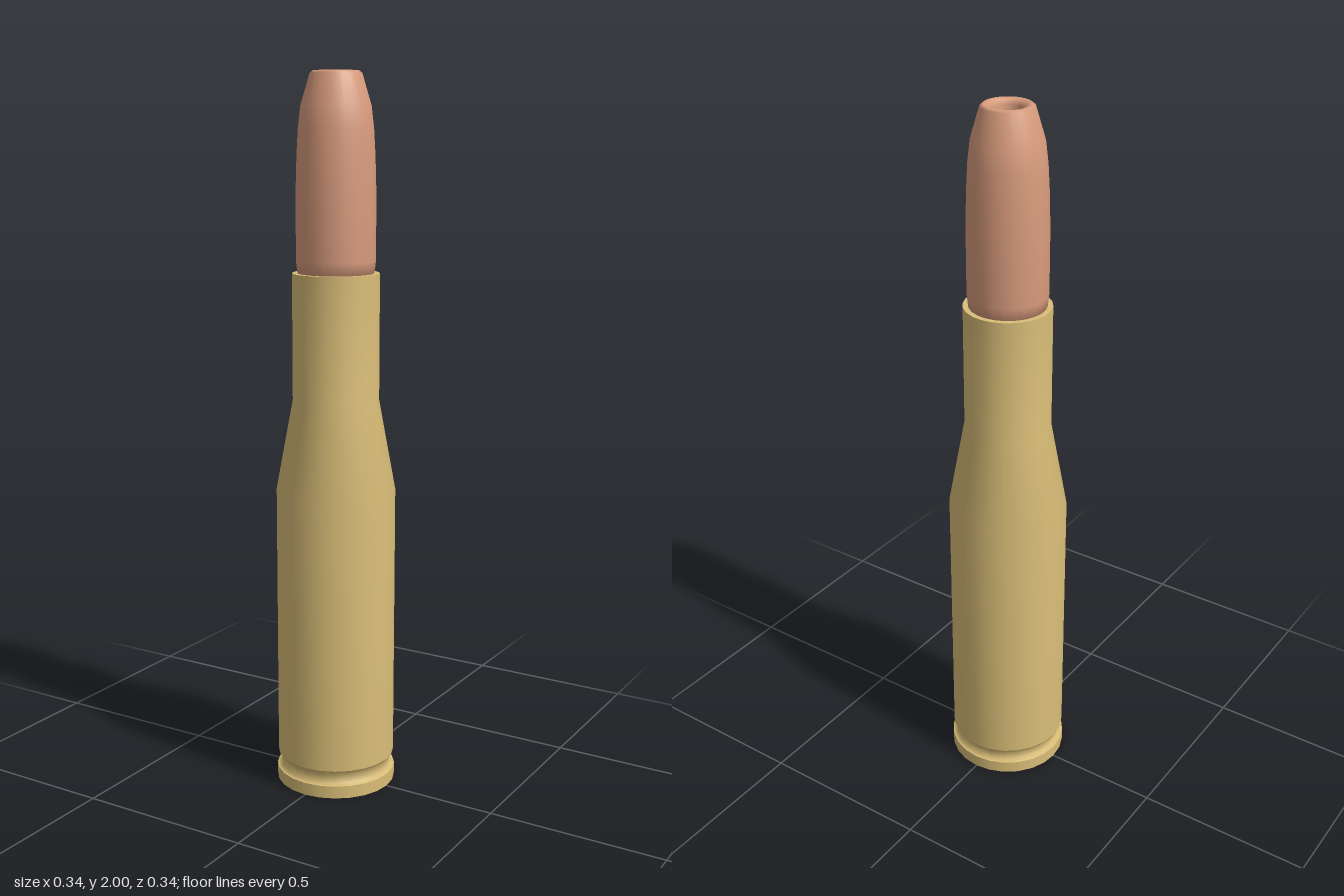
import * as THREE from 'three';

const SIDES = 24;

// Each run is a smooth profile of [radius, height]; edges between runs stay sharp.
function turnedPart(name, material, runs) {
  const part = new THREE.Group();
  part.name = name;
  for (const [label, points] of Object.entries(runs)) {
    const profile = points.map(([r, y]) => new THREE.Vector2(r, y));
    const mesh = new THREE.Mesh(new THREE.LatheGeometry(profile, SIDES), material);
    mesh.name = label;
    part.add(mesh);
  }
  return part;
}

export function createModel() {
  const brass = new THREE.MeshStandardMaterial({ name: 'brass', color: 0xdabe78 });
  const copper = new THREE.MeshStandardMaterial({ name: 'copper', color: 0xd99c7d });

  const model = new THREE.Group();
  model.name = 'cartridge';

  // Case: base, rim, extractor groove, tapered shoulder and neck
  model.add(turnedPart('case', brass, {
    base: [[0, 0], [0.17, 0]],
    rim: [[0.17, 0], [0.17, 0.036]],
    extractorGroove: [[0.17, 0.036], [0.156, 0.04], [0.156, 0.064], [0.167, 0.08]],
    body: [[0.167, 0.08], [0.167, 0.86], [0.12, 1.115], [0.12, 1.466]],
    mouth: [[0.12, 1.466], [0.105, 1.466]],
  }));

  // Bullet: seated in the mouth, with a rounded nose and a hollow point
  model.add(turnedPart('bullet', copper, {
    jacket: [
      [0, 1.44], [0.103, 1.445], [0.109, 1.5], [0.109, 1.68], [0.106, 1.78],
      [0.102, 1.85], [0.095, 1.91], [0.07, 1.994], [0.062, 2],
      [0.05, 1.997], [0.04, 1.985], [0.038, 1.92],
    ],
    cavityFloor: [[0.038, 1.92], [0.02, 1.91], [0, 1.908]],
  }));

  return model;
}
